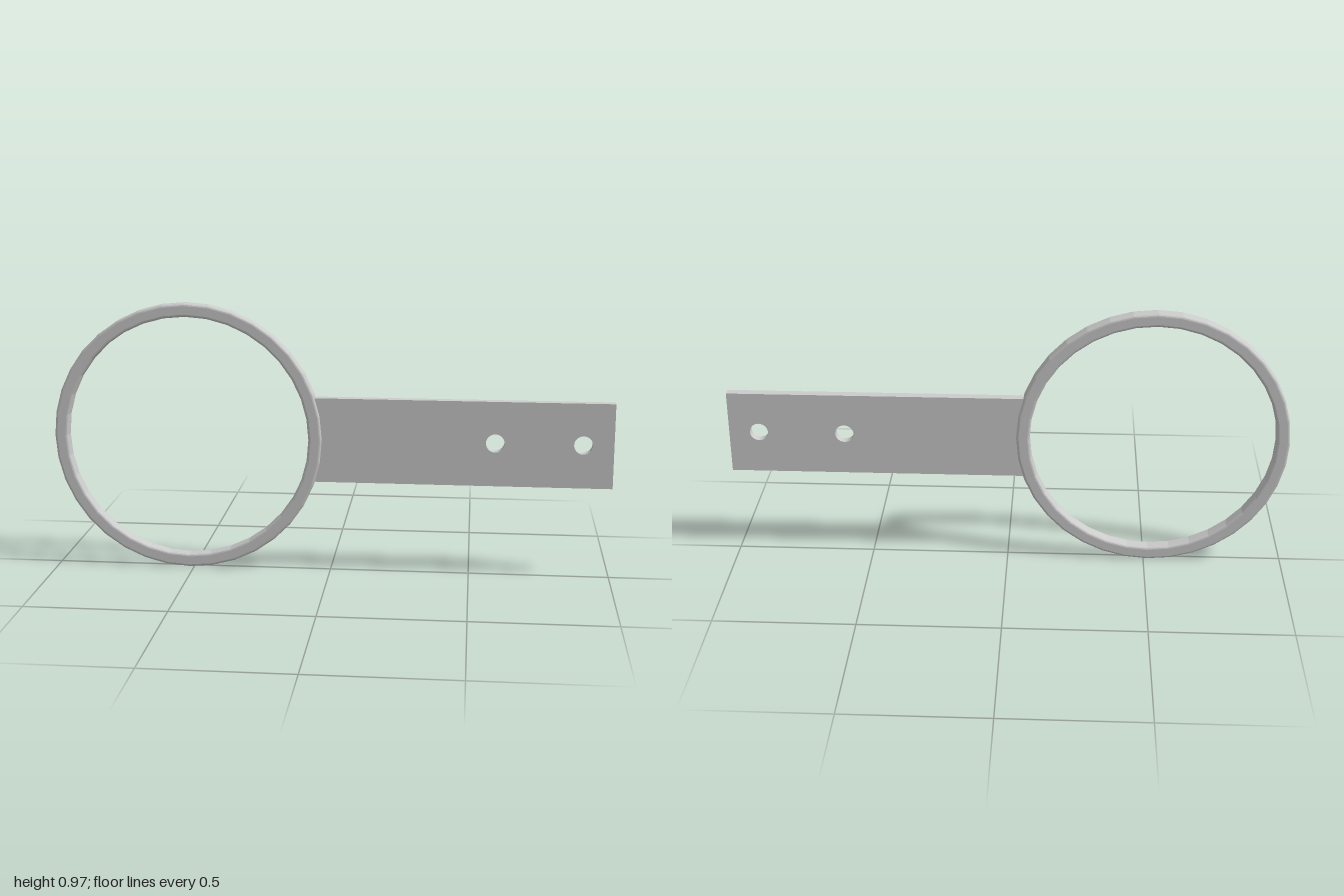
import * as THREE from 'three';

const CX = -0.515, CY = 0.487;            // ring centre
const R_IN = 0.437, R_OUT = 0.485;        // ring radii
const HALF = 0.025, ROUND = 0.009;        // ring half depth, edge rounding
const PLATE_T = 0.031;

// Closed rounded-rectangle cross-section of the ring (radius, axial)
function ringProfile() {
  const pts = [];
  const corners = [[R_OUT, -HALF, 1, -1], [R_OUT, HALF, 1, 1], [R_IN, HALF, -1, 1], [R_IN, -HALF, -1, -1]];
  corners.forEach(([r, a, sr, sa], k) => {
    for (let i = 0; i <= 3; i++) {
      const t = (k - 1) * Math.PI / 2 + (i / 3) * Math.PI / 2;
      pts.push(new THREE.Vector2(r - sr * ROUND + ROUND * Math.cos(t), a - sa * ROUND + ROUND * Math.sin(t)));
    }
  });
  pts.push(pts[0].clone());
  return pts;
}

export function createModel() {
  const group = new THREE.Group();
  const material = new THREE.MeshStandardMaterial({ color: 0xcccccc, flatShading: true });

  // Ring, axis along z
  const ring = new THREE.Mesh(new THREE.LatheGeometry(ringProfile(), 36), material);
  ring.name = 'ring';
  ring.rotation.x = Math.PI / 2;
  ring.position.set(CX, CY, 0);
  group.add(ring);

  // Flat mounting plate whose inner end follows the ring
  const h = 0.153, rJoin = 0.462, a = Math.asin(h / rJoin);
  const shape = new THREE.Shape();
  shape.moveTo(CX + rJoin * Math.cos(a), -h);
  shape.lineTo(1, -h);
  shape.lineTo(1, h);
  shape.lineTo(CX + rJoin * Math.cos(a), h);
  shape.absarc(CX, 0, rJoin, a, -a, true);
  for (const x of [0.585, 0.893]) {
    const hole = new THREE.Path();
    hole.absarc(x, 0.003, 0.033, 0, Math.PI * 2, true);
    shape.holes.push(hole);
  }
  const plateGeo = new THREE.ExtrudeGeometry(shape, { depth: PLATE_T, bevelEnabled: false, curveSegments: 12 });
  plateGeo.translate(0, CY, -PLATE_T / 2);
  const plate = new THREE.Mesh(plateGeo, material);
  plate.name = 'mountingPlate';
  group.add(plate);

  return group;
}
